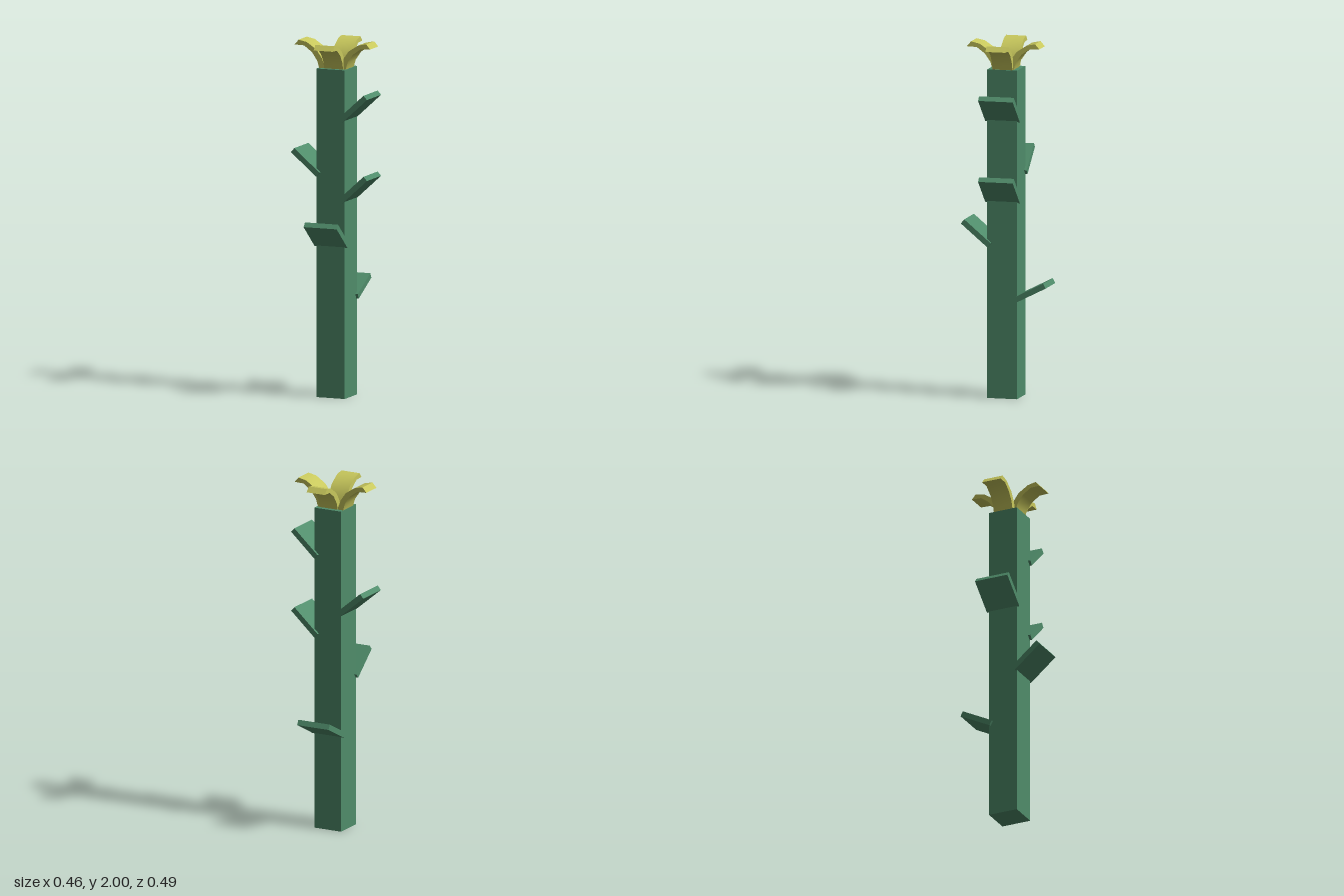
import * as THREE from 'three';
import { toCreasedNormals } from 'three/addons/utils/BufferGeometryUtils.js';

const green = new THREE.MeshStandardMaterial({ color: 0x4f8c6a });
const yellow = new THREE.MeshStandardMaterial({ color: 0xc8c85c });

const STEM_X = 0.003, STEM_Z = 0.0085, STEM_TOP = 1.85;

// Turns about y that point a part's +x axis to each side
const LEFT = 0, FRONT = -Math.PI / 2, RIGHT = Math.PI, BACK = Math.PI / 2;

function petalGeometry() {
  // Side profile of a petal curling outwards, extruded across its width
  const profile = [
    [0, 0], [0.036, 0], [0.048, 0.04], [0.08, 0.086], [0.127, 0.12], [0.184, 0.122],
    [0.16, 0.15], [0.111, 0.14], [0.053, 0.102], [0.02, 0.055],
  ].map(([x, y]) => new THREE.Vector2(x, y));
  const geometry = new THREE.ExtrudeGeometry(new THREE.Shape(profile), { depth: 0.115, bevelEnabled: false });
  geometry.translate(0, 0, -0.0575);
  return toCreasedNormals(geometry, 0.7);
}

export function createModel() {
  const model = new THREE.Group();
  model.name = 'flower';

  // Square stem
  const stem = new THREE.Mesh(new THREE.BoxGeometry(0.17, STEM_TOP, 0.172), green);
  stem.name = 'stem';
  stem.position.set(STEM_X, STEM_TOP / 2, STEM_Z);
  model.add(stem);

  // Slab leaves: name, side, height, distance from the stem axis, upward tilt
  const leafGeometry = new THREE.BoxGeometry(0.2, 0.031, 0.2);
  const leaves = [
    ['upperLeftLeaf', LEFT, 1.638, 0.141, 42.5],
    ['lowerLeftLeaf', LEFT, 1.182, 0.141, 42.5],
    ['rightLeaf', RIGHT, 1.319, 0.148, 40],
    ['frontLeaf', FRONT, 0.926, 0.148, 40],
    ['backLeaf', BACK, 0.601, 0.1585, 27],
  ];
  for (const [name, side, y, distance, tilt] of leaves) {
    const pivot = new THREE.Group();
    pivot.name = name;
    pivot.position.set(STEM_X, y, STEM_Z);
    pivot.rotation.y = side;
    const blade = new THREE.Mesh(leafGeometry, green);
    blade.name = name + 'Blade';
    blade.position.x = distance;
    blade.rotation.z = THREE.MathUtils.degToRad(tilt);
    pivot.add(blade);
    model.add(pivot);
  }

  // Four petals: name, side, base x, base z
  const petal = petalGeometry();
  const petals = [
    ['leftPetal', LEFT, 0.045, 0.0085],
    ['rightPetal', RIGHT, -0.043, 0.0085],
    ['frontPetal', FRONT, 0.0105, 0.034],
    ['backPetal', BACK, 0.0105, -0.016],
  ];
  for (const [name, side, x, z] of petals) {
    const mesh = new THREE.Mesh(petal, yellow);
    mesh.name = name;
    mesh.position.set(x, STEM_TOP, z);
    mesh.rotation.y = side;
    model.add(mesh);
  }

  return model;
}
